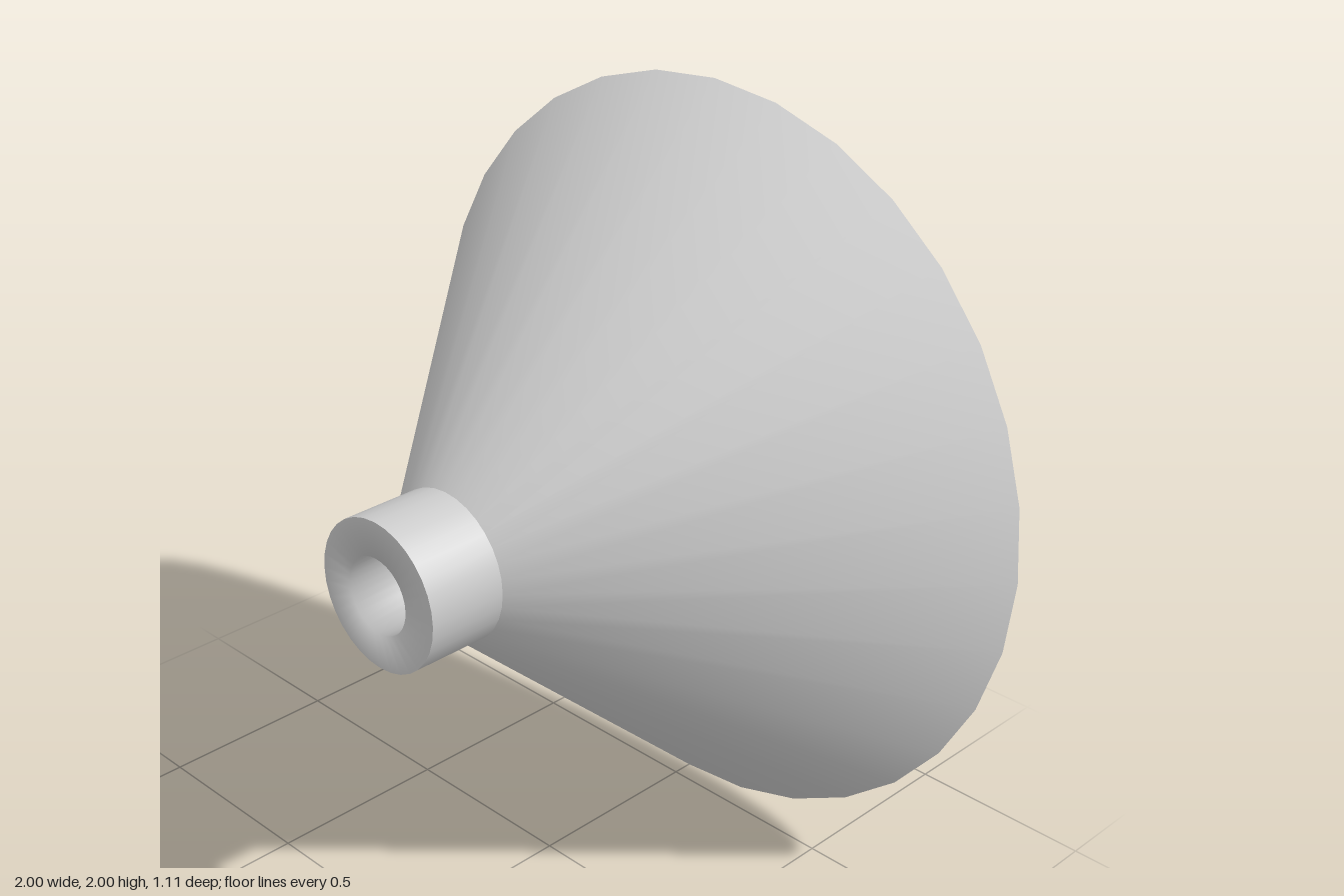
import * as THREE from 'three';

const SEGMENTS = 32;
const material = new THREE.MeshStandardMaterial({ color: 0xcccccc, side: THREE.DoubleSide });

// Revolve a profile around the horizontal z axis.
// Each point is [radius, z, radial part of normal, z part of normal].
function revolve(name, profile) {
  const points = profile.map(([r, z]) => new THREE.Vector2(r, z));
  const geometry = new THREE.LatheGeometry(points, SEGMENTS);
  const normals = geometry.attributes.normal;
  const n = new THREE.Vector3();
  for (let i = 0; i < normals.count; i++) {
    const angle = Math.floor(i / profile.length) / SEGMENTS * Math.PI * 2;
    const [, , radial, axial] = profile[i % profile.length];
    n.set(radial * Math.sin(angle), axial, radial * Math.cos(angle)).normalize();
    normals.setXYZ(i, n.x, n.y, n.z);
  }
  geometry.rotateX(Math.PI / 2);
  const mesh = new THREE.Mesh(geometry, material);
  mesh.name = name;
  mesh.position.y = 1;
  return mesh;
}

export function createModel() {
  const model = new THREE.Group();
  model.name = 'funnelHorn';

  const throatZ = 0.34, boreEndZ = 0.36, frontZ = 0.555, rimZ = -0.555;
  const nozzleR = 0.195, boreR = 0.1;

  // Flared cone: inner wall, flat rim and outer wall, softly shaded across the rim
  model.add(revolve('flaredCone', [
    [boreR, boreEndZ, -0.78, -0.63],
    [0.84, rimZ, -0.43, -0.9],
    [1, rimZ, 0.8, -0.6],
    [nozzleR, throatZ, 0.745, 0.667],
  ]));

  // Short cylindrical nozzle
  model.add(revolve('nozzleOuterWall', [
    [nozzleR, throatZ, 1, 0],
    [nozzleR, frontZ, 1, 0],
  ]));

  // Nozzle end face running softly into the through hole
  model.add(revolve('nozzleFaceAndBore', [
    [nozzleR, frontZ, 0, 1],
    [boreR, frontZ, -0.7, 0.7],
    [boreR, boreEndZ, -1, 0],
  ]));

  return model;
}
